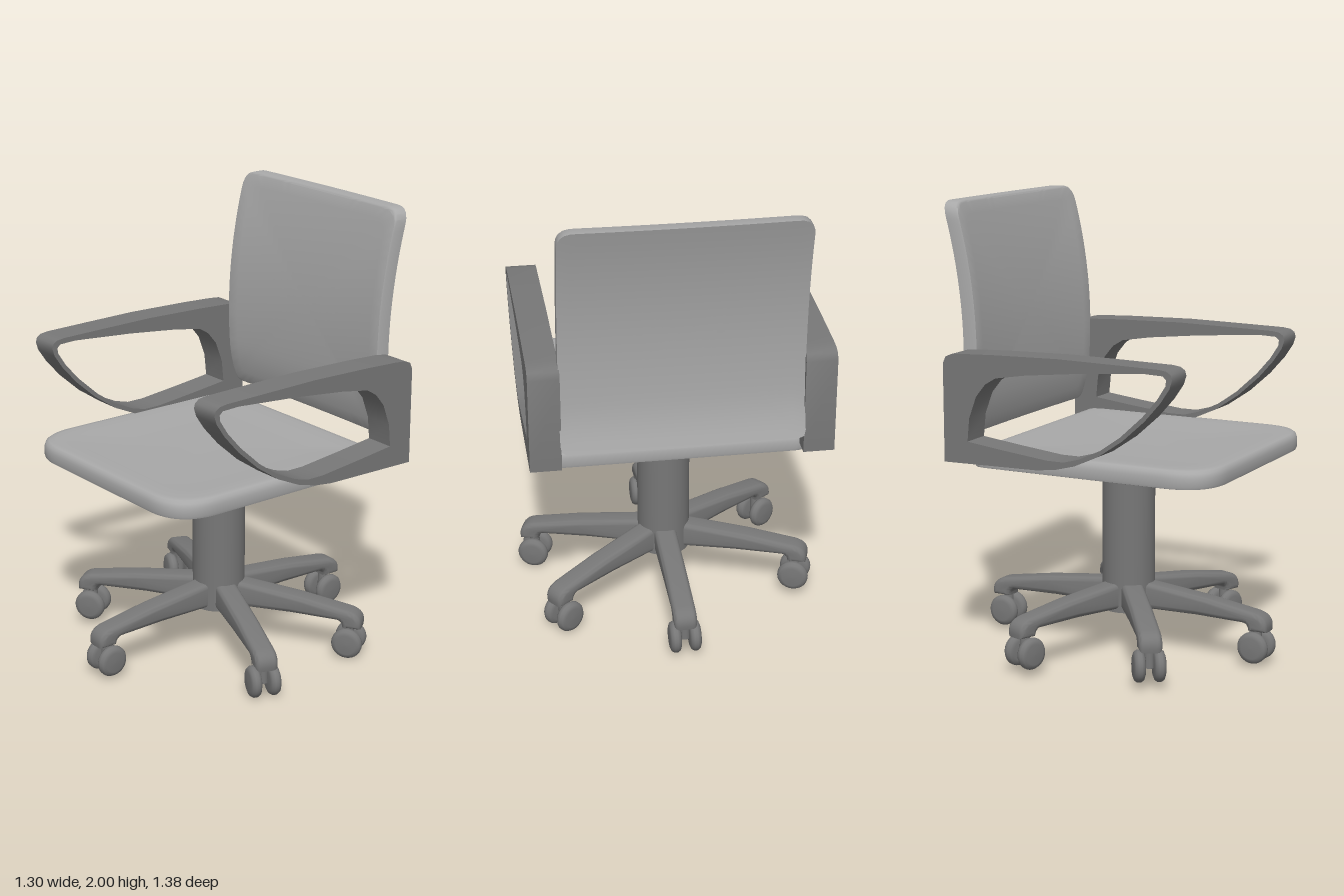
import * as THREE from 'three';
import { toCreasedNormals } from 'three/addons/utils/BufferGeometryUtils.js';

const fabric = new THREE.MeshStandardMaterial({ color: 0xa8a8a8 });
const plastic = new THREE.MeshStandardMaterial({ color: 0x777777 });

function add(parent, name, material, geometry, x = 0, y = 0, z = 0) {
  const mesh = new THREE.Mesh(geometry, material);
  mesh.name = name;
  mesh.position.set(x, y, z);
  parent.add(mesh);
  return mesh;
}

// Rounded rectangle outline, with separate radii for the lower and upper corners
function outline(w, h, lower, upper, count) {
  const x = w / 2, y = h / 2;
  const s = new THREE.Shape();
  s.moveTo(-x + lower, -y);
  s.lineTo(x - lower, -y);
  s.quadraticCurveTo(x, -y, x, -y + lower);
  s.lineTo(x, y - upper);
  s.quadraticCurveTo(x, y, x - upper, y);
  s.lineTo(-x + upper, y);
  s.quadraticCurveTo(-x, y, -x, y - upper);
  s.lineTo(-x, -y + lower);
  s.quadraticCurveTo(-x, -y, -x + lower, -y);
  return s.getSpacedPoints(count).slice(0, count);
}

// Closed cushion: scaled copies of an outline stacked along z; bend offsets z by position
function cushion(points, rings, bend = () => 0) {
  const pos = [], index = [], n = points.length;
  for (const [scale, height] of rings) {
    for (const p of points) {
      const x = p.x * scale, y = p.y * scale;
      pos.push(x, y, height + bend(x, y));
    }
  }
  for (let r = 0; r < rings.length - 1; r++) {
    for (let i = 0; i < n; i++) {
      const a = r * n + i, b = r * n + (i + 1) % n;
      if (rings[r][0] > 0) index.push(a, b, b + n);
      if (rings[r + 1][0] > 0) index.push(a, b + n, a + n);
    }
  }
  const g = new THREE.BufferGeometry();
  g.setAttribute('position', new THREE.Float32BufferAttribute(pos, 3));
  g.setIndex(index);
  return toCreasedNormals(g, 0.7);
}

// Side profile drawn as (z, y), extruded across x and centred
function sideExtrude(shape, width, bevel) {
  const g = new THREE.ExtrudeGeometry(shape, {
    depth: width - 2 * bevel, curveSegments: 8, bevelEnabled: bevel > 0,
    bevelSize: bevel, bevelThickness: bevel, bevelOffset: -bevel, bevelSegments: 4,
  });
  g.translate(0, 0, -(width - 2 * bevel) / 2);
  g.rotateY(-Math.PI / 2);
  return toCreasedNormals(g, 0.8);
}

const vectors = (list) => list.map(([x, y]) => new THREE.Vector2(x, y));

export function createModel() {
  const chair = new THREE.Group();
  chair.name = 'officeChair';

  // Seat: soft rim, slightly dished top, shallow pyramid underneath
  const seatShape = outline(1.095, 1.105, 0.2, 0.05, 160);
  const seatGeometry = cushion(seatShape, [
    [0, 0.83], [0.15, 0.83], [0.97, 0.876], [0.995, 0.88], [1, 0.89], [1, 0.925],
    [0.99, 0.944], [0.97, 0.954], [0.93, 0.957], [0.8, 0.952], [0.5, 0.945], [0, 0.942],
  ]);
  seatGeometry.rotateX(-Math.PI / 2);
  add(chair, 'seat', fabric, seatGeometry, 0.002, 0, 0.08);

  // Backrest: dished panel with square edges, bent backwards at top and bottom
  const rings = [];
  for (let i = 0; i <= 10; i++) rings.push([i / 10, -0.03]);
  rings.push([1, 0.025], [0.993, 0.032]);
  for (let i = 10; i >= 0; i--) {
    const s = 0.98 * i / 10;
    rings.push([s, 0.034 - 0.012 * (1 - s * s)]);
  }
  const bend = (x, y) => -0.503 - 0.235 * (y + 0.14) ** 2
    - 0.6 * Math.max(0, -0.3 - y) ** 2 + 0.01 * (x / 0.51) ** 2;
  add(chair, 'backrest', fabric, cushion(outline(1.025, 1, 0.03, 0.07, 160), rings, bend), 0.003, 1.5, 0);

  // Armrests: closed loops with a teardrop opening
  const arm = new THREE.Shape(vectors([
    [-0.545, 0.913], [-0.1, 0.92], [-0.01, 0.931], [0.08, 0.955], [0.19, 1.005], [0.3, 1.08],
    [0.4, 1.17], [0.47, 1.25], [0.51, 1.31], [0.521, 1.345], [0.515, 1.367], [0.495, 1.38], [0.46, 1.385],
    [0.25, 1.389], [0, 1.393], [-0.3, 1.387], [-0.45, 1.381], [-0.505, 1.376], [-0.532, 1.364], [-0.545, 1.335],
  ]));
  arm.holes.push(new THREE.Path(vectors([
    [0.48, 1.36], [0.4, 1.363], [0.1, 1.34], [-0.15, 1.313], [-0.29, 1.29], [-0.34, 1.26],
    [-0.385, 1.205], [-0.42, 1.11], [-0.43, 1.01], [-0.25, 0.988], [-0.05, 0.966], [0.03, 0.966],
    [0.1, 0.985], [0.2, 1.032], [0.29, 1.095], [0.39, 1.187], [0.455, 1.262], [0.492, 1.32], [0.495, 1.345],
  ])));
  const armGeometry = sideExtrude(arm, 0.133, 0);
  add(chair, 'leftArmrest', plastic, armGeometry, 0.576);
  add(chair, 'rightArmrest', plastic, armGeometry, -0.574);

  // Gas lift column
  add(chair, 'column', plastic, new THREE.CylinderGeometry(0.117, 0.117, 0.61, 40), 0.005, 0.485, 0);
  add(chair, 'columnPiston', plastic, new THREE.CylinderGeometry(0.067, 0.067, 0.09, 32), 0.005, 0.82, 0);

  // Base: six legs on a slightly tilted star
  const base = new THREE.Group();
  base.name = 'base';
  base.position.x = 0.003;
  base.rotation.z = -0.026;
  chair.add(base);

  const legShape = new THREE.Shape();
  legShape.moveTo(0, 0.19);
  legShape.lineTo(0.35, 0.195);
  legShape.lineTo(0.57, 0.19);
  legShape.quadraticCurveTo(0.595, 0.185, 0.595, 0.157);
  legShape.lineTo(0.68, 0.157);
  legShape.quadraticCurveTo(0.695, 0.225, 0.62, 0.24);
  legShape.lineTo(0.4, 0.275);
  legShape.lineTo(0.1, 0.308);
  legShape.lineTo(0, 0.312);
  const legGeometry = sideExtrude(legShape, 0.1, 0.022);

  // Rounded caster wheel
  const wheelGeometry = new THREE.LatheGeometry(vectors([
    [0, -0.026], [0.045, -0.025], [0.061, -0.019], [0.069, -0.007],
    [0.069, 0.007], [0.061, 0.019], [0.045, 0.025], [0, 0.026],
  ]), 28);
  wheelGeometry.rotateZ(Math.PI / 2);
  const stemGeometry = new THREE.CylinderGeometry(0.022, 0.022, 0.09, 16);

  for (const degrees of [0, 70, 125, 180, 250, 305]) {
    const leg = new THREE.Group();
    leg.name = 'legWithCaster';
    leg.rotation.y = THREE.MathUtils.degToRad(degrees);
    // Side legs are a touch shorter than the front and back ones
    const length = degrees % 180 === 0 ? 1 : 0.975;
    base.add(leg);
    add(leg, 'leg', plastic, legGeometry).scale.z = length;
    add(leg, 'casterStem', plastic, stemGeometry, 0, 0.125, 0.622 * length);
    for (const side of [-1, 1]) {
      add(leg, 'casterWheel', plastic, wheelGeometry, side * 0.043, 0.087, 0.622 * length);
    }
  }
  return chair;
}
